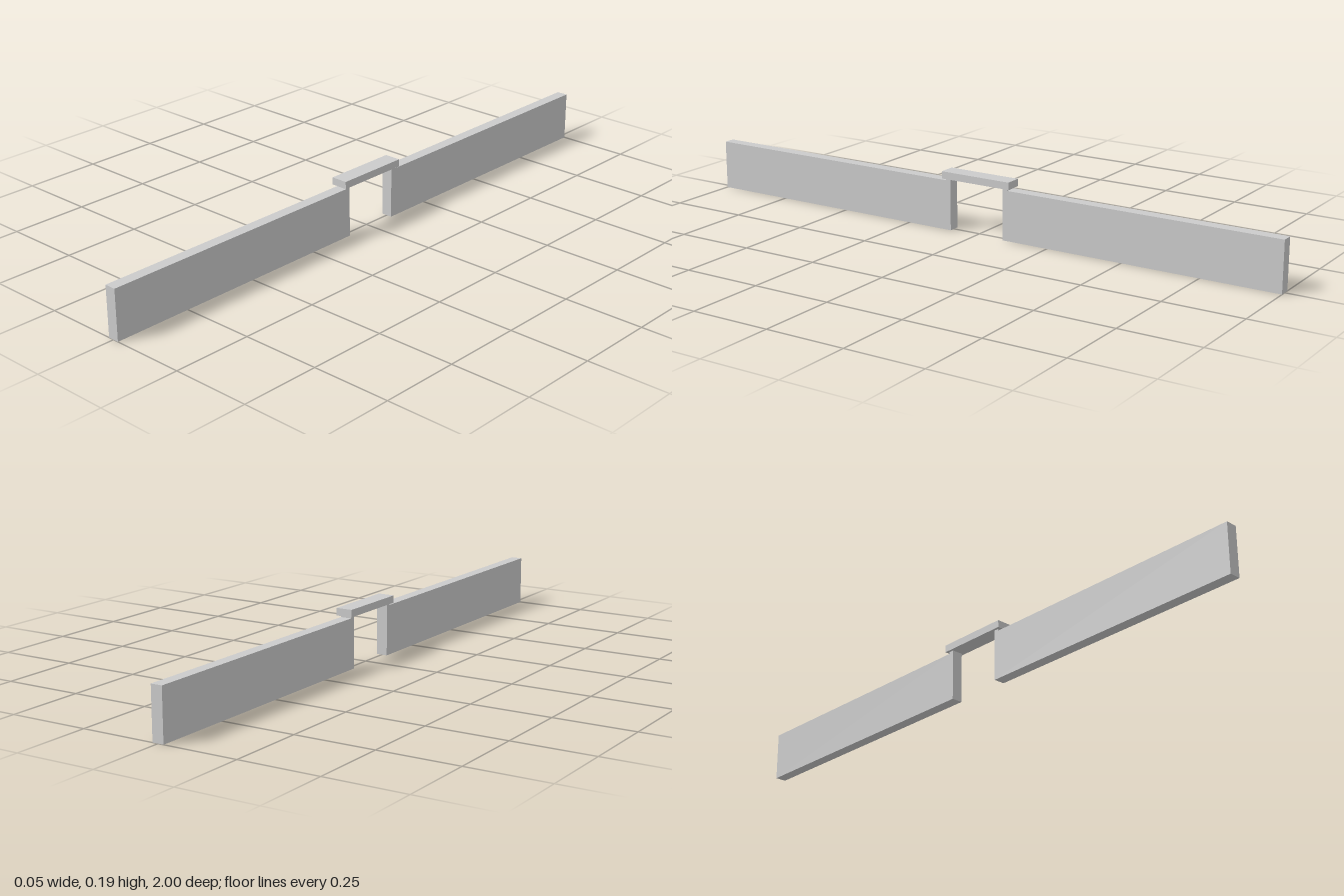
import * as THREE from 'three';

const material = new THREE.MeshStandardMaterial({ color: 0xcccccc, flatShading: true });

// Box given by its width and its y and z ranges, centred on x = 0
function box(name, width, y0, y1, z0, z1) {
  const mesh = new THREE.Mesh(new THREE.BoxGeometry(width, y1 - y0, z1 - z0), material);
  mesh.name = name;
  mesh.position.set(0, (y0 + y1) / 2, (z0 + z1) / 2);
  return mesh;
}

export function createModel() {
  const model = new THREE.Group();
  model.name = 'wallWithGateway';

  // Two long walls with a gateway between them
  model.add(box('frontWall', 0.036, 0, 0.157, 0.094, 1));
  model.add(box('backWall', 0.036, 0, 0.157, -1, -0.094));

  // Short bearing pads carrying the lintel on the wall ends
  model.add(box('frontPad', 0.036, 0.157, 0.163, 0.094, 0.11));
  model.add(box('backPad', 0.036, 0.157, 0.163, -0.11, -0.094));

  // Lintel bridging the opening
  model.add(box('lintel', 0.053, 0.163, 0.186, -0.12, 0.12));

  return model;
}
